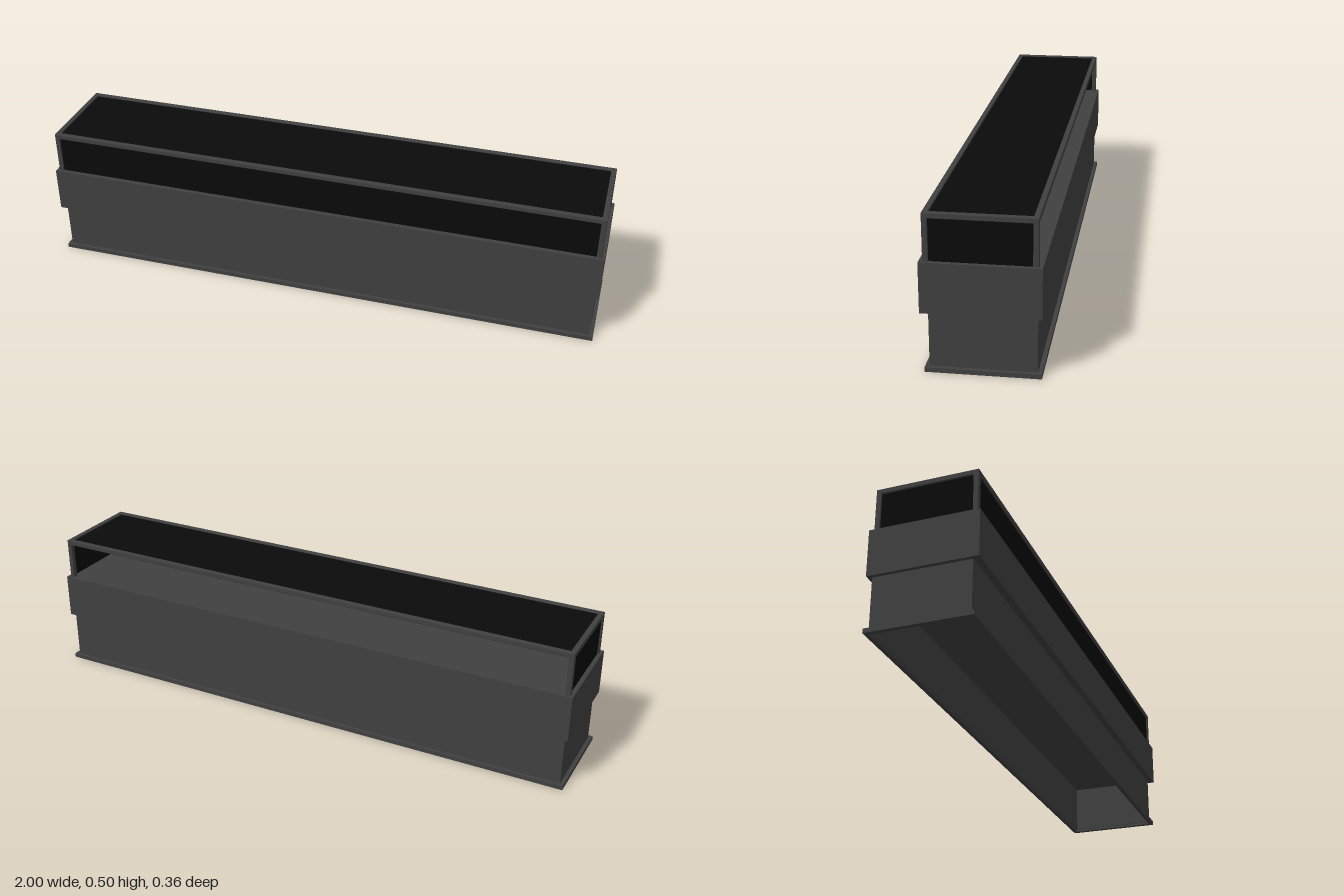
import * as THREE from 'three';
import { RoundedBoxGeometry } from 'three/addons/geometries/RoundedBoxGeometry.js';

const shellMat = new THREE.MeshStandardMaterial({ color: 0x404040 });
const glassMat = new THREE.MeshStandardMaterial({ color: 0x0a0a0a, side: THREE.DoubleSide });

export function createModel() {
  const counter = new THREE.Group();
  counter.name = 'displayCounter';

  const add = (name, geometry, material, x, y, z) => {
    const mesh = new THREE.Mesh(geometry, material);
    mesh.name = name;
    mesh.position.set(x, y, z);
    counter.add(mesh);
    return mesh;
  };

  // Upright rectangular tube, open above and below
  const tube = (name, halfX, halfZ, wall, y0, y1, z) => {
    const rect = (path, a, b) => path.moveTo(-a, -b).lineTo(a, -b).lineTo(a, b).lineTo(-a, b).closePath();
    const shape = rect(new THREE.Shape(), halfX, halfZ);
    shape.holes.push(rect(new THREE.Path(), halfX - wall, halfZ - wall));
    const geometry = new THREE.ExtrudeGeometry(shape, { depth: y1 - y0, bevelEnabled: false });
    geometry.rotateX(-Math.PI / 2);
    return add(name, geometry, shellMat, 0, y0, z);
  };

  // Hollow base, set slightly back, with a skirting around its foot
  tube('skirting', 1, 0.175, 0.015, 0, 0.015, -0.005);
  tube('base', 0.987, 0.162, 0.004, 0.01, 0.2, -0.005);

  // Overhanging body; its top is the floor of the showcase
  add('body', new THREE.BoxGeometry(2, 0.16, 0.362), shellMat, 0, 0.27, 0);

  // Showcase frame: four posts and four top rails
  const bar = 0.018, halfX = 0.99, halfZ = 0.17, floor = 0.35, top = 0.5;
  const px = halfX - bar / 2, pz = halfZ - bar / 2;
  const barGeometry = (x, y, z) => new RoundedBoxGeometry(x, y, z, 2, 0.003);
  for (const s of [-1, 1]) {
    for (const t of [-1, 1]) {
      add('post', barGeometry(bar, top - floor + 0.005, bar), shellMat, s * px, (top + floor - 0.005) / 2, t * pz);
    }
    add('longRail', barGeometry(halfX * 2, bar, bar), shellMat, 0, top - bar / 2, s * pz);
    add('endRail', barGeometry(bar, bar, halfZ * 2), shellMat, s * px, top - bar / 2, 0);
  }

  // Panes on the front, ends and top; the back stays open for access
  const inset = 0.005, paneY = (floor + top - bar) / 2, paneH = top - bar - floor + 0.008;
  const innerX = 2 * (halfX - bar) + 0.008, innerZ = 2 * (halfZ - bar) + 0.008;
  add('frontPane', new THREE.PlaneGeometry(innerX, paneH), glassMat, 0, paneY, halfZ - inset);
  add('topPane', new THREE.PlaneGeometry(innerX, innerZ), glassMat, 0, top - inset, 0).rotation.x = -Math.PI / 2;
  for (const s of [-1, 1]) {
    add('endPane', new THREE.PlaneGeometry(innerZ, paneH), glassMat, s * (halfX - inset), paneY, 0).rotation.y = s * Math.PI / 2;
  }

  return counter;
}
